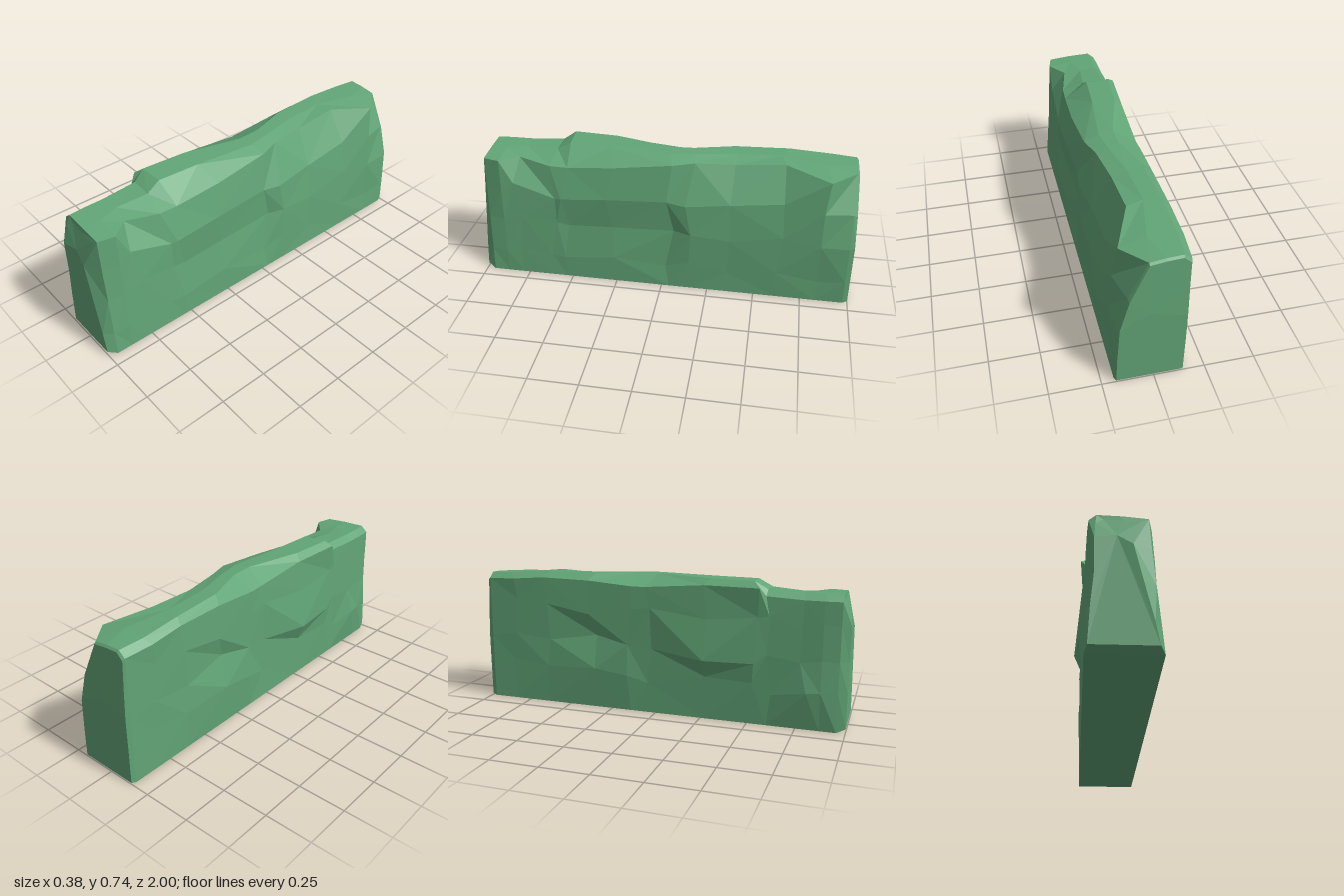
import * as THREE from 'three';

// Stations along the wall:
// [z, topY, leftShoulderX, rightTopX, rightTopY, left low/mid/high x, right high/mid/low x]
const STATIONS = [
  [1.0, 0.665, -0.105, 0.10, 0.655, -0.125, -0.11, -0.11, 0.06, 0.10, 0.145],
  [0.955, 0.69, -0.135, 0.135, 0.675, -0.145, -0.14, -0.135, 0.145, 0.16, 0.177],
  [0.87, 0.69, -0.14, 0.155, 0.675, -0.165, -0.15, -0.145, 0.165, 0.172, 0.185],
  [0.78, 0.69, -0.14, 0.08, 0.67, -0.172, -0.15, -0.145, 0.155, 0.17, 0.18],
  [0.6, 0.70, -0.145, 0.12, 0.65, -0.15, -0.155, -0.15, 0.16, 0.165, 0.18],
  [0.53, 0.74, -0.165, 0.125, 0.65, -0.155, -0.165, -0.155, 0.168, 0.16, 0.185],
  [0.28, 0.74, -0.15, 0.135, 0.675, -0.15, -0.19, -0.16, 0.17, 0.16, 0.185],
  [-0.04, 0.74, -0.145, 0.125, 0.71, -0.145, -0.145, -0.15, 0.16, 0.155, 0.175],
  [-0.14, 0.74, -0.15, 0.09, 0.715, -0.16, -0.15, -0.15, 0.175, 0.183, 0.186],
  [-0.36, 0.735, -0.15, 0.06, 0.71, -0.162, -0.125, -0.152, 0.155, 0.178, 0.182],
  [-0.62, 0.735, -0.155, 0.05, 0.725, -0.155, -0.15, -0.155, 0.145, 0.175, 0.185],
  [-0.83, 0.72, -0.16, 0.145, 0.69, -0.15, -0.155, -0.155, 0.17, 0.183, 0.18],
  [-0.975, 0.715, -0.15, 0.04, 0.70, -0.15, -0.15, -0.15, 0.13, 0.175, 0.185],
];

function seeded(seed) {
  return () => {
    seed = (seed * 16807) % 2147483647;
    return seed / 2147483647 - 0.5;
  };
}

function wallGeometry() {
  const rand = seeded(417);
  const last = STATIONS.length;

  // Cross-section rings, from the left foot over the top to the right foot
  const ring = (s, i) => {
    const [z, top, xl, xr, yr, l1, l2, l3, r8, r9, r10] = s;
    const front = i === 0;
    const calm = i < 3 || i === last - 1;
    // Sloping chip on the left of the crest, near the middle of the wall
    const chip = Math.exp(-(((z + 0.09) / 0.2) ** 2));
    const ridge = xl + 0.035 + 0.085 * chip;
    const footY = front ? 0.02 : 0;
    const points = [
      [front ? -0.135 : -0.148, footY], [l1, 0.2], [l2, 0.36], [l3, 0.54],
      [xl, top - 0.03 - 0.03 * chip], [ridge, top], [(ridge + xr) / 2, top - 0.004],
      [xr, yr], [r8, 0.51], [r9, 0.33], [r10, 0.13], [front ? 0.165 : 0.188, footY],
    ];
    return points.map(([x, y], j) => {
      const foot = j === 0 || j === 11;
      const wobble = calm || foot ? 0 : 0.05;
      const sideRow = (j > 0 && j < 4) || (j > 7 && j < 11);
      const slant = front ? -Math.max(0, y - 0.57) * 0.45 : 0;
      const rise = sideRow ? rand() * wobble * 1.6 : 0;
      return new THREE.Vector3(x, y + rise, z + slant + rand() * wobble);
    });
  };
  const rings = STATIONS.map(ring);

  // Slightly narrower closing ring at the back
  rings.push(rings[last - 1].map((p) => new THREE.Vector3(
    p.x * 0.96, p.y > 0.5 ? p.y - 0.01 : p.y + 0.008, -1 + Math.max(0, p.y - 0.4) * 0.05)));

  const positions = [];
  const tri = (a, b, c) => positions.push(...a.toArray(), ...b.toArray(), ...c.toArray());
  const n = rings[0].length;

  // Skin with irregular diagonals; the last strip closes the underside
  for (let i = 0; i < rings.length - 1; i++) {
    for (let j = 0; j < n; j++) {
      const k = (j + 1) % n;
      const a = rings[i][j], b = rings[i][k], c = rings[i + 1][k], d = rings[i + 1][j];
      if (rand() > 0) {
        tri(a, b, c);
        tri(a, c, d);
      } else {
        tri(a, b, d);
        tri(b, c, d);
      }
    }
  }

  // Faceted end faces
  const cap = (points, hub, front) => points.forEach((p, j) => {
    const q = points[(j + 1) % n];
    if (front) tri(hub, q, p);
    else tri(hub, p, q);
  });
  cap(rings[0], new THREE.Vector3(-0.01, 0.56, 0.99), true);
  cap(rings[rings.length - 1], new THREE.Vector3(0.03, 0.42, -1), false);

  const geometry = new THREE.BufferGeometry();
  geometry.setAttribute('position', new THREE.Float32BufferAttribute(positions, 3));
  geometry.computeVertexNormals();
  return geometry;
}

export function createModel() {
  const group = new THREE.Group();
  group.name = 'rockWall';
  const material = new THREE.MeshStandardMaterial({ color: 0x62a577, flatShading: true });
  const wall = new THREE.Mesh(wallGeometry(), material);
  wall.name = 'roughStoneBlock';
  group.add(wall);
  return group;
}
